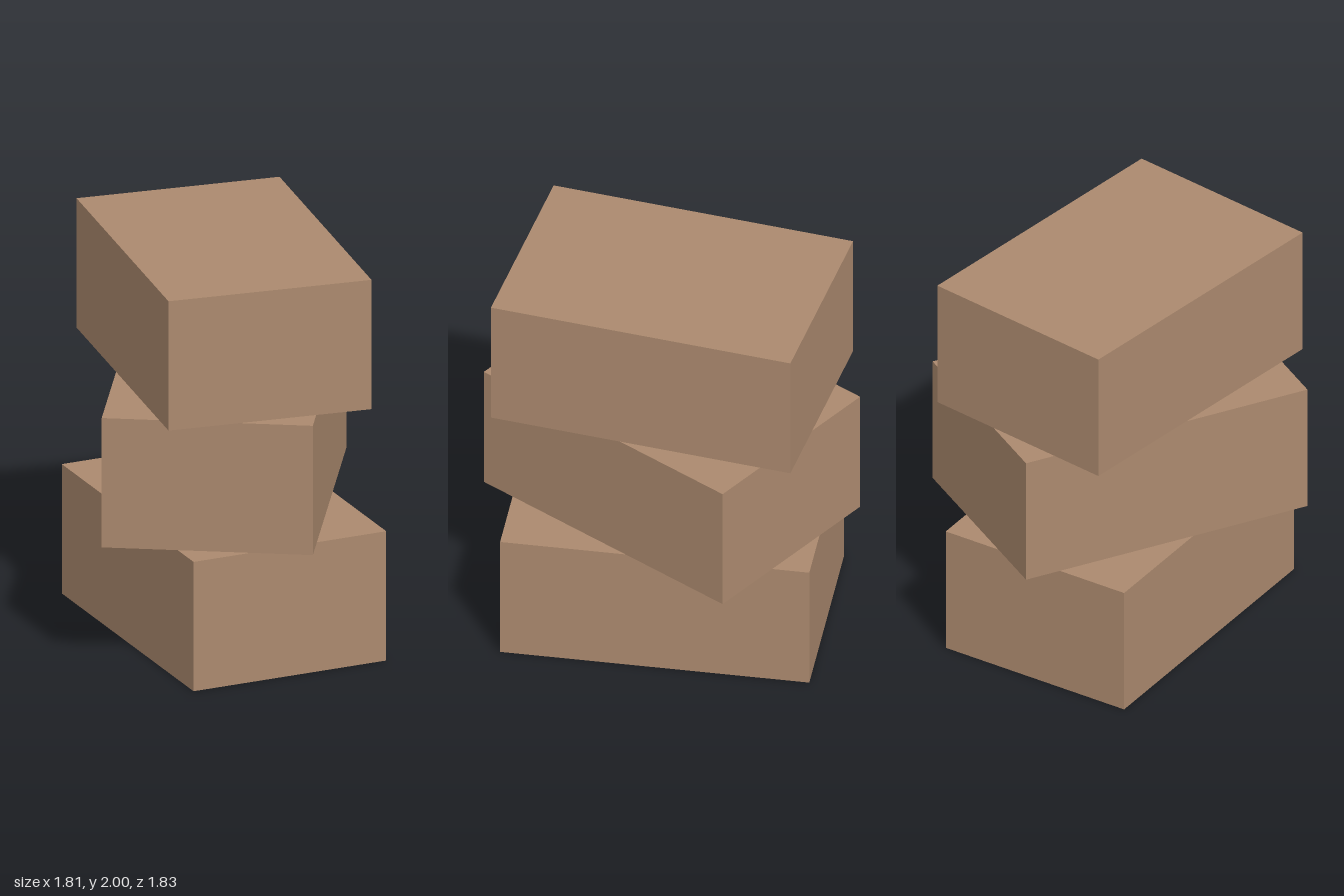
import * as THREE from 'three';

export function createModel() {
  const model = new THREE.Group();
  model.name = 'crateStack';
  const cardboard = new THREE.MeshStandardMaterial({ color: 0xab896e });
  cardboard.name = 'cardboard brown';

  // Three identical boxes piled up, each turned differently about the vertical axis
  const height = 2 / 3;
  const geometry = new THREE.BoxGeometry(1.517, height, 1.028);
  const layers = [['bottomBox', -42.9], ['middleBox', -73.9], ['topBox', -50.7]];
  layers.forEach(([name, degrees], i) => {
    const box = new THREE.Mesh(geometry, cardboard);
    box.name = name;
    box.position.y = (i + 0.5) * height;
    box.rotation.y = THREE.MathUtils.degToRad(degrees);
    model.add(box);
  });
  return model;
}
